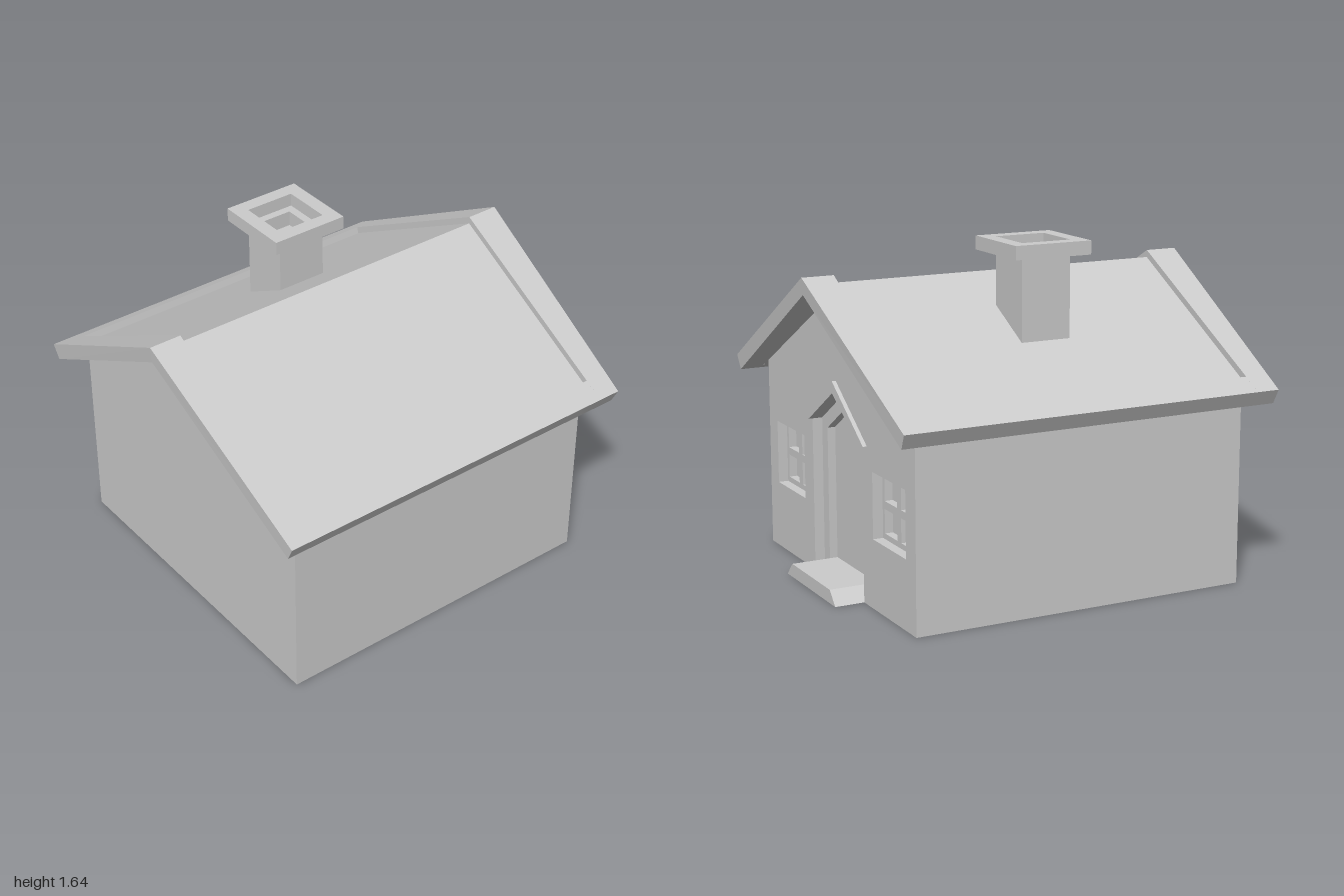
import * as THREE from 'three';

const material = new THREE.MeshStandardMaterial({ color: 0xcccccc, flatShading: true });

function add(parent, name, geometry) {
  const mesh = new THREE.Mesh(geometry, material);
  mesh.name = name;
  parent.add(mesh);
  return mesh;
}

const points = (list) => list.map(([a, b]) => new THREE.Vector2(a, b));
const rect = (a0, b0, a1, b1) => [[a0, b0], [a1, b0], [a1, b1], [a0, b1]];

function shapeOf(outline, holes = []) {
  const shape = new THREE.Shape(points(outline));
  shape.holes = holes.map((h) => new THREE.Path(points(h)));
  return shape;
}

// Extrude a side outline (z mirrored, y) along x from x0 to x1
function alongX(outline, holes, x0, x1) {
  const g = new THREE.ExtrudeGeometry(shapeOf(outline, holes), { depth: x1 - x0, bevelEnabled: false });
  return g.rotateY(Math.PI / 2).translate(x0, 0, 0);
}

// Square ring standing on y0, reaching y1
function squareRing(outer, inner, y0, y1) {
  const shape = shapeOf(rect(-outer, -outer, outer, outer), [rect(-inner, -inner, inner, inner)]);
  const g = new THREE.ExtrudeGeometry(shape, { depth: y1 - y0, bevelEnabled: false });
  return g.rotateX(-Math.PI / 2).translate(0, y0, 0);
}

// Prism with a four-point (z, y) profile and its own left and right x at each point
function prism(profile, left, right) {
  const L = profile.map(([z, y], i) => [left[i], y, z]);
  const R = profile.map(([z, y], i) => [right[i], y, z]);
  const pos = [];
  const quad = (a, b, c, d) => pos.push(...a, ...b, ...c, ...a, ...c, ...d);
  for (let i = 0; i < 4; i++) {
    const j = (i + 1) % 4;
    quad(L[i], L[j], R[j], R[i]);
  }
  quad(R[0], R[1], R[2], R[3]);
  quad(L[3], L[2], L[1], L[0]);
  const g = new THREE.BufferGeometry();
  g.setAttribute('position', new THREE.Float32BufferAttribute(pos, 3));
  g.computeVertexNormals();
  return g;
}

const W = 0.84; // half width of the house
const gableTop = [[W, 0.935], [0, 1.4], [-W, 0.935]];
const gable = [[-W, 0], [W, 0], ...gableTop];

// Gable outline with a pointed doorway cut up from the ground
function gableWithDoor(half, shoulder, peak) {
  return [[-W, 0], [-half, 0], [-half, shoulder], [0, peak], [half, shoulder], [half, 0], [W, 0], ...gableTop];
}

function buildHouse(group) {
  add(group, 'houseBody', alongX(gable, [], -W, 0.75));

  // Window openings and their four panes, either side of the door
  const windows = [], panes = [];
  for (const side of [-1, 1]) {
    const c = side * 0.567;
    windows.push(rect(c - 0.173, 0.33, c + 0.173, 0.644));
    for (const dz of [-0.0865, 0.0865]) {
      for (const y of [0.356, 0.508]) {
        panes.push(rect(c + dz - 0.0655, y, c + dz + 0.0655, y + 0.115));
      }
    }
  }
  add(group, 'doorAndWindowFrames', alongX(gableWithDoor(0.225, 0.712, 0.855), panes, 0.75, 0.79));
  add(group, 'doorWall', alongX(gableWithDoor(0.287, 0.75, 0.93), windows, 0.79, W));

  // Pointed hood over the door
  const hood = [[-0.34, 0.75], [-0.287, 0.75], [0, 0.93], [0.287, 0.75], [0.34, 0.75], [0, 0.987]];
  add(group, 'doorHood', alongX(hood, [], W - 0.005, 0.86));

  // Doorstep with sloping ends
  const half = [0.225, 0.225, 0.287, 0.287];
  const step = prism([[0.75, 0.065], [0.985, 0.065], [0.985, 0], [0.75, 0]], half.map((v) => -v), half);
  add(group, 'doorstep', step.rotateY(Math.PI / 2));
}

// One slope: a sunken panel framed by two end rails and an eave rail
function buildSlope() {
  const slope = new THREE.Group();
  const same = (v) => [v, v, v, v];
  const rail = [[0, 1.48], [0.975, 0.95], [0.94, 0.88], [0, 1.4]];
  const ends = [1, 0.954, 0.95, 0.994];
  add(slope, 'endRailLeft', prism(rail, same(W), ends));
  add(slope, 'endRailRight', prism(rail, ends.map((v) => -v), same(-W)));
  const eave = [[0.875, 1.004], [0.975, 0.95], [0.94, 0.88], [0.858, 0.925]];
  add(slope, 'eaveRail', prism(eave, same(-W), same(W)));
  const panel = [[0, 1.445], [0.862, 0.975], [0.858, 0.925], [0, 1.4]];
  add(slope, 'roofPanel', prism(panel, same(-W), same(W)));
  return slope;
}

function buildChimney() {
  const chimney = new THREE.Group();
  chimney.name = 'chimney';
  add(chimney, 'chimneyStack', new THREE.BoxGeometry(0.25, 0.4, 0.25).translate(0, 1.3, 0));
  add(chimney, 'chimneyFlue', squareRing(0.125, 0.085, 1.5, 1.575));
  add(chimney, 'chimneyCap', squareRing(0.195, 0.125, 1.575, 1.64));
  chimney.position.z = -0.356;
  return chimney;
}

export function createModel() {
  const group = new THREE.Group();
  group.name = 'cottage';
  buildHouse(group);
  ['frontRoof', 'backRoof'].forEach((name, i) => {
    const slope = buildSlope();
    slope.name = name;
    slope.rotation.y = i * Math.PI;
    group.add(slope);
  });
  group.add(buildChimney());
  return group;
}
